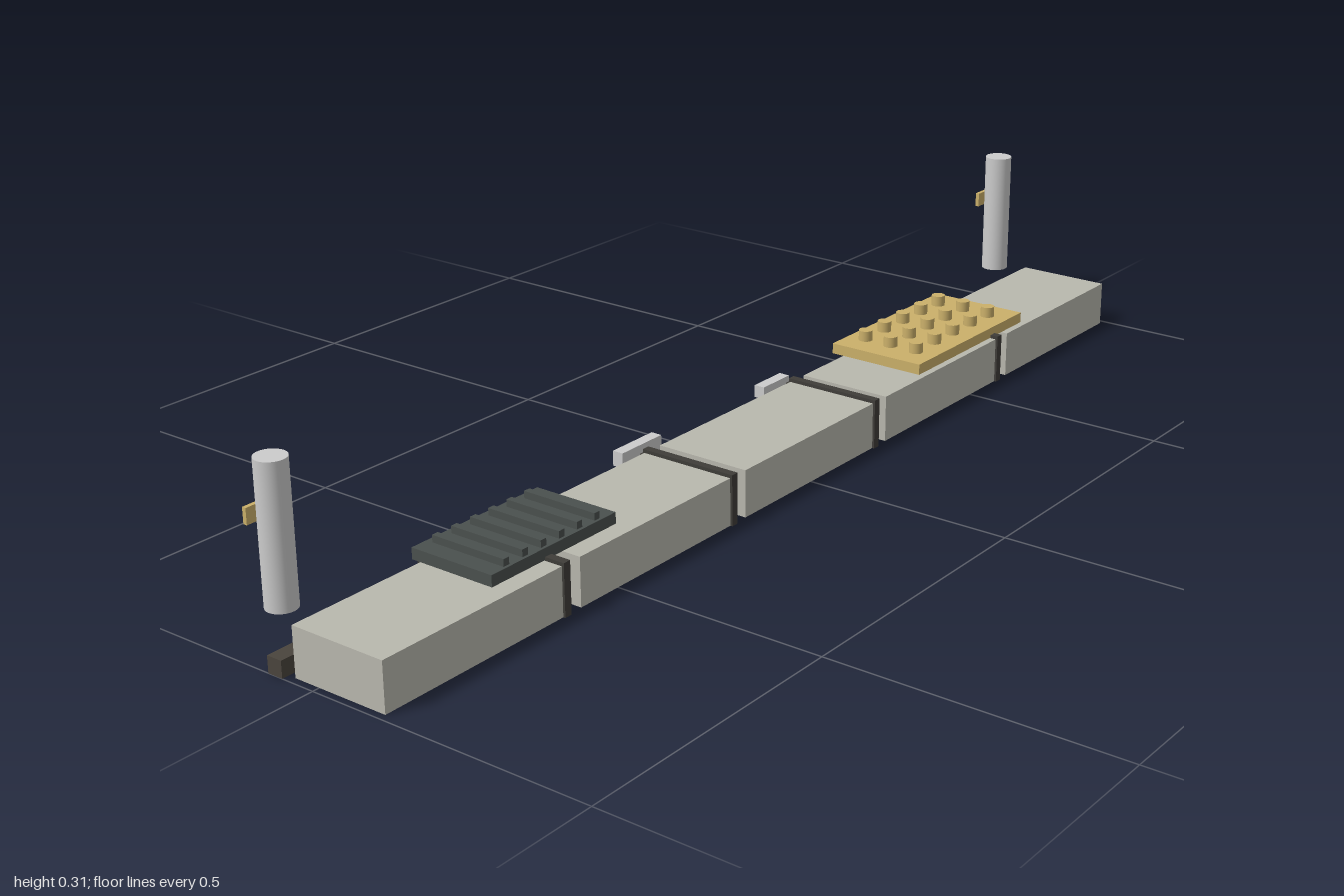
import * as THREE from 'three';

const mat = (color) => new THREE.MeshStandardMaterial({ color });

export function createModel() {
  const root = new THREE.Group();
  const stone = mat(0xb9b8ae), dark = mat(0x3f3d39), railMat = mat(0x4a443d);
  const ribbed = mat(0x4a504e), brass = mat(0xcbb06a), metal = mat(0xcccccc), clipMat = mat(0xc0c0bd);

  // Box given by its min and max on each axis
  const box = (name, material, [x0, x1], [y0, y1], [z0, z1], parent = root) => {
    const mesh = new THREE.Mesh(new THREE.BoxGeometry(x1 - x0, y1 - y0, z1 - z0), material);
    mesh.position.set((x0 + x1) / 2, (y0 + y1) / 2, (z0 + z1) / 2);
    mesh.name = name;
    parent.add(mesh);
    return mesh;
  };
  const cylinder = (name, material, r, [y0, y1], x, z, sides, parent = root) => {
    const mesh = new THREE.Mesh(new THREE.CylinderGeometry(r, r, y1 - y0, sides), material);
    mesh.position.set(x, (y0 + y1) / 2, z);
    mesh.name = name;
    parent.add(mesh);
    return mesh;
  };
  const group = (name) => {
    const g = new THREE.Group();
    g.name = name;
    root.add(g);
    return g;
  };

  // Five slabs in a row, with a joint plate in each gap
  const pitch = 0.403, half = 0.1815;
  for (let i = -2; i <= 2; i++) {
    const x = i * pitch;
    box('slab', stone, [x - half, x + half], [0, 0.082], [-0.047, 0.127]);
    if (i < 2) {
      const edge = x + half;
      box('jointPlate', dark, [edge, edge + 0.014], [0, 0.088], [-0.05, 0.131]);
      box('strut', dark, [edge - 0.002, edge + 0.016], [0.011, 0.079], [-0.06, -0.049]);
    }
  }

  // Rear rail and its outer struts
  box('rail', railMat, [-1, 1], [0, 0.028], [-0.088, -0.06]);
  for (const x of [-0.72, 0.72]) {
    box('strut', dark, [x - 0.009, x + 0.009], [0.011, 0.079], [-0.06, -0.047]);
  }

  // Clips on the rear edge
  box('clip', clipMat, [-0.267, -0.168], [0.068, 0.094], [-0.075, -0.055]);
  box('clip', clipMat, [0.115, 0.189], [0.068, 0.09], [-0.075, -0.055]);

  // Ribbed mat
  const ribMat = group('ribbedMat');
  box('matBase', ribbed, [-0.738, -0.464], [0.083, 0.102], [-0.062, 0.095], ribMat);
  for (let i = 0; i < 6; i++) {
    const x = -0.701 + i * 0.04;
    box('rib', ribbed, [x - 0.006, x + 0.006], [0.102, 0.114], [-0.05, 0.09], ribMat);
  }

  // Studded plate
  const studPlate = group('studdedPlate');
  box('plateBase', brass, [0.343, 0.692], [0.083, 0.102], [-0.069, 0.116], studPlate);
  for (let i = 0; i < 5; i++) {
    for (let j = 0; j < 3; j++) {
      cylinder('stud', brass, 0.0125, [0.102, 0.121], 0.395 + i * 0.061, -0.033 + j * 0.054, 20, studPlate);
    }
  }

  // End posts with rear tags
  for (const x of [-0.956, 0.956]) {
    const post = group('post');
    cylinder('postBody', metal, 0.025, [0.082, 0.31], x, -0.1, 32, post);
    box('postTag', brass, [x - 0.03, x + 0.03], [0.21, 0.236], [-0.131, -0.124], post);
  }
  return root;
}
